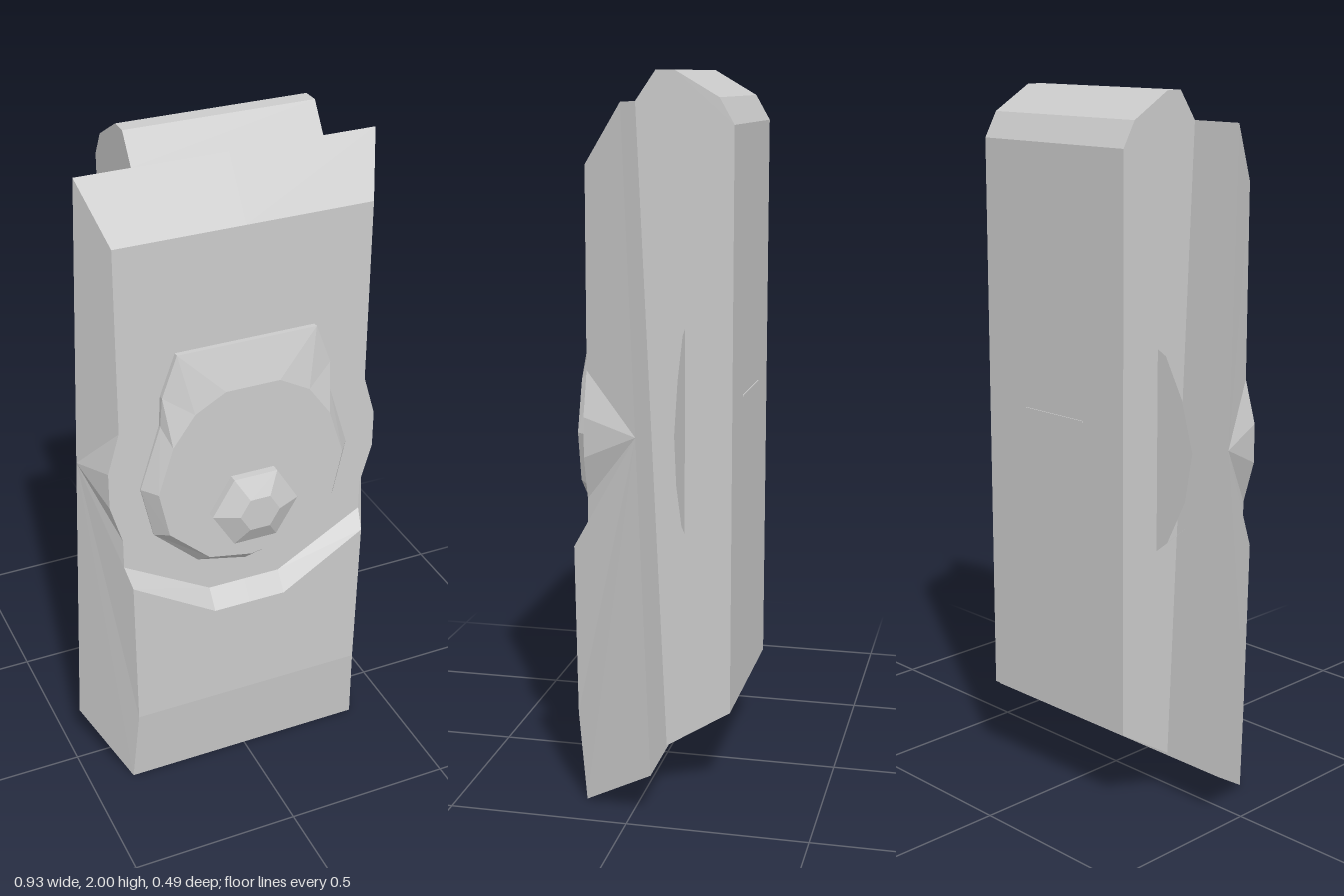
import * as THREE from 'three';

const material = new THREE.MeshStandardMaterial({ color: 0xcccccc, flatShading: true });

// Flat-shaded mesh from right-half polygons (fanned from their first corner), mirrored across x = 0
function mirrored(name, polygons) {
  const pos = [];
  for (const p of polygons) {
    for (let i = 1; i < p.length - 1; i++) {
      const tri = [p[0], p[i], p[i + 1]];
      for (const v of tri) pos.push(...v);
      for (const v of tri.reverse()) pos.push(-v[0], v[1], v[2]);
    }
  }
  const g = new THREE.BufferGeometry();
  g.setAttribute('position', new THREE.Float32BufferAttribute(pos, 3));
  g.computeVertexNormals();
  const mesh = new THREE.Mesh(g, material);
  mesh.name = name;
  return mesh;
}

// Quads joining two point lists; the first lies to the left when walking along it, seen from outside
function strip(a, b) {
  const quads = [];
  for (let i = 0; i < a.length - 1; i++) quads.push([a[i], b[i], b[i + 1], a[i + 1]]);
  return quads;
}

function createShell() {
  const backTop = [0.425, 1.92, 0.025];
  const backMid = [0.444, 1.06, -0.016];
  const backLow = [0.465, 0.13, -0.06];
  // Front edge of the raised upper panel, with the side bulge
  const upperEdge = [[0.37, 0.78], [0.37, 0.87], [0.405, 0.99], [0.405, 1.1], [0.37, 1.22], [0.37, 1.76]]
    .map(([x, y]) => [x, y, 0.135]);
  const lowerEdge = [[0.37, 0, 0.145], [0.355, 0.25, 0.172], [0.36, 0.73, 0.178]];
  const stepTop = [[0, 0.63, 0.135], [0.11, 0.63, 0.135], upperEdge[0]];
  const stepLow = [[0, 0.575, 0.178], [0.11, 0.575, 0.178], lowerEdge[2]];
  return mirrored('frontShell', [
    [[0, 1, 0.135], ...stepTop, ...upperEdge.slice(1), [0, 1.76, 0.135]],
    ...strip(stepTop, stepLow),
    [[0, 0.25, 0.172], lowerEdge[1], lowerEdge[2], stepLow[1], stepLow[0]],
    [[0, 0, 0.145], lowerEdge[0], lowerEdge[1], [0, 0.25, 0.172]],
    // Side wall, sloped top, bottom and back
    [backMid, backTop, ...[...lowerEdge, ...upperEdge].reverse(), backLow],
    [[0, 1.76, 0.135], upperEdge[5], backTop, [0, 1.92, 0.025]],
    [[0, 0, 0.145], [0, 0.13, -0.06], backLow, lowerEdge[0]],
    [[0, 1.92, 0.025], backTop, backMid, backLow, [0, 0.13, -0.06]],
  ]);
}

function createBackBlock() {
  // Side profile as (z, y)
  const profile = [[0, 0.1], [-0.24, 0.25], [-0.24, 1.86], [-0.2, 1.93], [-0.08, 2], [-0.03, 2], [0.025, 1.92]];
  const shape = new THREE.Shape(profile.map(([z, y]) => new THREE.Vector2(-z, y)));
  const g = new THREE.ExtrudeGeometry(shape, { depth: 0.54, bevelEnabled: false });
  g.translate(0, 0, -0.27).rotateY(Math.PI / 2);
  const mesh = new THREE.Mesh(g, material);
  mesh.name = 'backBlock';
  return mesh;
}

function createFrontPlate() {
  const inner = [[0, 1.31], [0.08, 1.31], [0.17, 1.26], [0.235, 1.17], [0.28, 1.03], [0.25, 0.89], [0.13, 0.78], [0, 0.755]]
    .map(([x, y]) => [x, y, 0.187]);
  const outer = [[0, 1.43, 0.15], [0.205, 1.43, 0.15], [0.25, 1.31, 0.15], [0.255, 1.22, 0.145],
    [0.315, 1.03, 0.14], [0.28, 0.87, 0.14], [0.15, 0.75, 0.145], [0, 0.715, 0.145]];
  const base = outer.map(([x, y]) => [x, y, 0.125]);
  return mirrored('frontPlate', [
    [[0, 1, 0.187], ...[...inner].reverse()],
    ...strip(outer, inner),
    ...strip(base, outer),
  ]);
}

// Six-sided button with a bevelled face
function createButton() {
  const group = new THREE.Group();
  group.name = 'button';
  const layers = [['buttonBase', 0.13, 0.13, 0.03, 0.195], ['buttonCap', 0.06, 0.13, 0.032, 0.226]];
  for (const [name, front, back, depth, z] of layers) {
    const g = new THREE.CylinderGeometry(front, back, depth, 6);
    g.rotateY(Math.PI / 6).rotateX(Math.PI / 2);
    g.scale(1, 0.95, 1);
    const mesh = new THREE.Mesh(g, material);
    mesh.name = name;
    mesh.position.set(0, 0.93, z);
    group.add(mesh);
  }
  return group;
}

// Half-round lugs beside the back block
function createSideLugs() {
  const rear = [[0.26, 1.33], [0.3, 1.31], [0.36, 1.2], [0.4, 1.06], [0.375, 0.92], [0.31, 0.79], [0.26, 0.75]]
    .map(([x, y]) => [x, y, -0.11]);
  const front = rear.map(([x, y]) => [0.26 + (x - 0.26) * 0.8, 1.04 + (y - 1.04) * 0.88, 0]);
  return mirrored('sideLugs', [rear, ...strip(front, rear)]);
}

export function createModel() {
  const model = new THREE.Group();
  model.name = 'device';
  // Thin groove line on the back
  const slit = new THREE.Mesh(new THREE.BoxGeometry(0.23, 0.005, 0.006), material);
  slit.name = 'backSlit';
  slit.position.set(0, 1.12, -0.24);
  model.add(createShell(), createBackBlock(), createFrontPlate(), createButton(), createSideLugs(), slit);
  return model;
}
